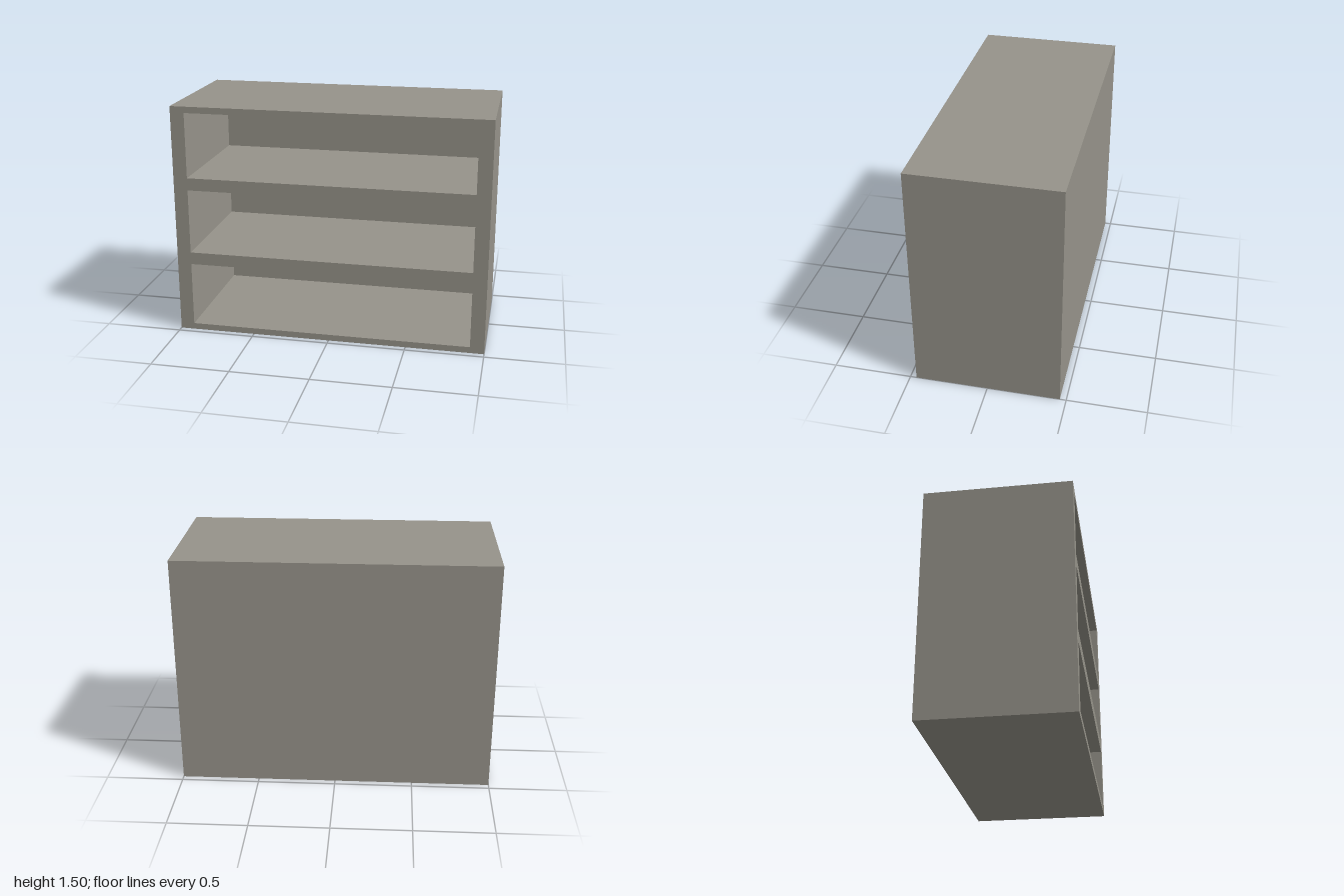
import * as THREE from 'three';

const WIDTH = 2, HEIGHT = 1.5, DEPTH = 0.92;
const SIDE = 0.09, EDGE = 0.04, BACK = 0.05, BAYS = 3;

// Traces a rectangle on a shape or path
function rect(path, x0, y0, x1, y1) {
  path.moveTo(x0, y0);
  path.lineTo(x1, y0);
  path.lineTo(x1, y1);
  path.lineTo(x0, y1);
  path.closePath();
  return path;
}

export function createModel() {
  const model = new THREE.Group();
  model.name = 'shelfUnit';
  const wood = new THREE.MeshStandardMaterial({ color: 0x96938a });
  wood.name = 'greyWood';

  // Carcass: sides, top, bottom and shelves around three open bays
  const half = WIDTH / 2;
  const outline = rect(new THREE.Shape(), -half, 0, half, HEIGHT);
  const bay = HEIGHT / BAYS;
  for (let i = 0; i < BAYS; i++) {
    outline.holes.push(rect(new THREE.Path(),
      -half + SIDE, i * bay + EDGE, half - SIDE, (i + 1) * bay - EDGE));
  }
  const carcassGeometry = new THREE.ExtrudeGeometry(outline, { depth: DEPTH - BACK, bevelEnabled: false });
  const carcass = new THREE.Mesh(carcassGeometry, wood);
  carcass.name = 'carcassWithShelves';
  carcass.position.z = -DEPTH / 2 + BACK;
  model.add(carcass);

  // Back panel closing the bays
  const back = new THREE.Mesh(new THREE.BoxGeometry(WIDTH, HEIGHT, BACK), wood);
  back.name = 'backPanel';
  back.position.set(0, HEIGHT / 2, -DEPTH / 2 + BACK / 2);
  model.add(back);

  return model;
}
